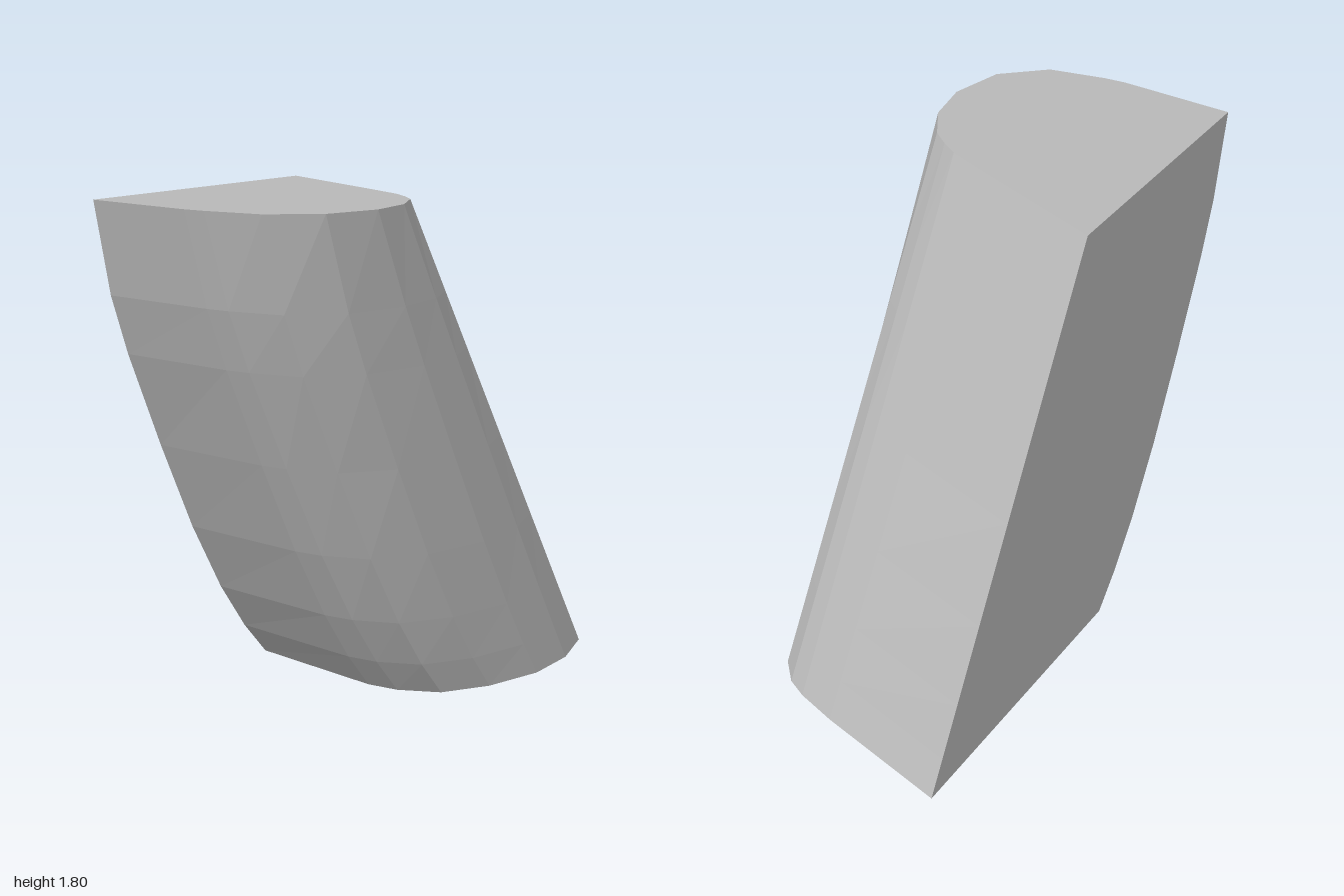
import * as THREE from 'three';

// Matching cross-section points, from the right back corner round the front to the left back corner:
// [top x, top z, bottom x, bottom z, share of the sideways bulge]
const SECTION = [
  [0.02, -0.48, 1.0, -0.48, 0],
  [-0.15, 0.03, 0.87, 0.05, 0],
  [-0.21, 0.2, 0.82, 0.21, 0],
  [-0.25, 0.265, 0.78, 0.29, 0],
  [-0.3, 0.33, 0.7, 0.365, 0],
  [-0.43, 0.41, 0.49, 0.45, 0.1],
  [-0.6, 0.44, 0.27, 0.475, 0.4],
  [-0.8, 0.39, 0.04, 0.43, 0.8],
  [-0.94, 0.24, -0.13, 0.34, 1],
  [-0.99, 0.03, -0.21, 0.2, 1],
  [-1.0, -0.05, -0.23, 0.08, 1],
  [-1.0, -0.48, -0.18, -0.48, 1.2],
];

// [height, bulge towards -x]
const LEVELS = [
  [0, 0], [0.13, 0.045], [0.31, 0.08], [0.57, 0.1], [0.9, 0.1],
  [1.25, 0.09], [1.465, 0.07], [1.8, 0],
];
const HEIGHT = 1.8;

function geometryFrom(points, index) {
  const g = new THREE.BufferGeometry();
  g.setAttribute('position', new THREE.Float32BufferAttribute(points.flat(), 3));
  g.setIndex(index);
  const flat = g.toNonIndexed();
  flat.computeVertexNormals();
  return flat;
}

export function createModel() {
  const group = new THREE.Group();
  group.name = 'slantedBlock';
  const grey = new THREE.MeshStandardMaterial({ color: 0xb8b8b8 });
  grey.name = 'plainGrey';
  grey.flatShading = true;

  const n = SECTION.length;
  const rings = LEVELS.map(([y, bulge]) => {
    const t = y / HEIGHT;
    return SECTION.map(([tx, tz, bx, bz, w]) => [
      bx + (tx - bx) * t - bulge * w, y, bz + (tz - bz) * t,
    ]);
  });

  // Wall lofted through the rings; the wrap-around strip is the flat back
  const wall = [];
  for (let j = 0; j < rings.length - 1; j++) {
    for (let i = 0; i < n; i++) {
      const k = (i + 1) % n;
      const a = j * n + i, b = j * n + k;
      wall.push(b, a, a + n, b, a + n, b + n);
    }
  }

  // Flat ends as fans from the right back corner
  const topFan = [], bottomFan = [];
  for (let i = 1; i < n - 1; i++) {
    topFan.push(0, i + 1, i);
    bottomFan.push(0, i, i + 1);
  }

  const add = (name, points, index) => {
    const mesh = new THREE.Mesh(geometryFrom(points, index), grey);
    mesh.name = name;
    group.add(mesh);
  };
  add('wall', rings.flat(), wall);
  add('topFace', rings[rings.length - 1], topFan);
  add('bottomFace', rings[0], bottomFan);
  return group;
}
